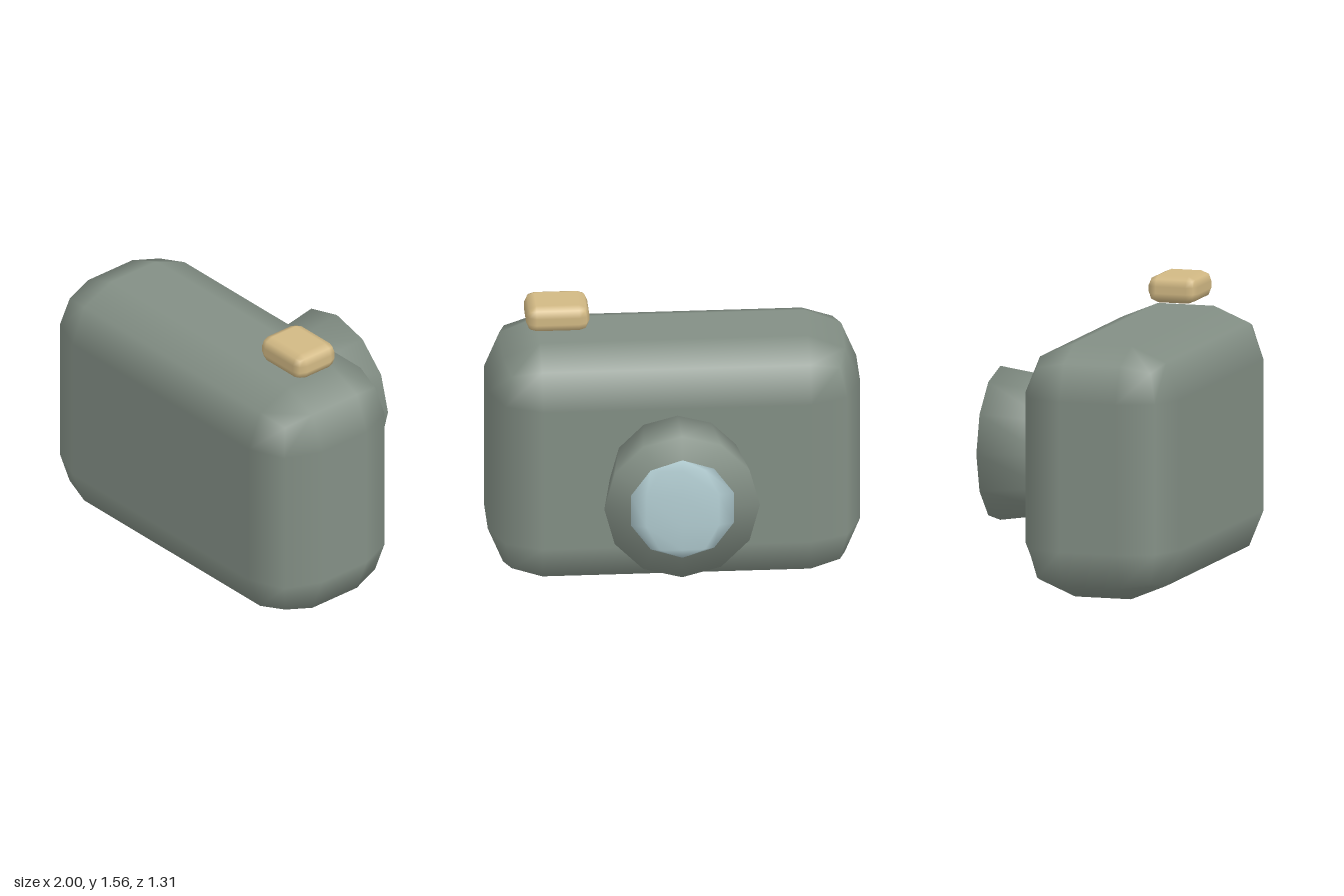
import * as THREE from 'three';
import { mergeVertices } from 'three/addons/utils/BufferGeometryUtils.js';
import { RoundedBoxGeometry } from 'three/addons/geometries/RoundedBoxGeometry.js';

// Weld all corners so shading flows smoothly across every edge
function smooth(geometry) {
  geometry.deleteAttribute('normal');
  geometry.deleteAttribute('uv');
  const welded = mergeVertices(geometry, 1e-4);
  welded.computeVertexNormals();
  return welded;
}

export function createModel() {
  const group = new THREE.Group();
  const casing = new THREE.MeshStandardMaterial({ color: 0x838f85 });
  const brass = new THREE.MeshStandardMaterial({ color: 0xd2b984 });
  const glass = new THREE.MeshStandardMaterial({ color: 0xb4cfd4 });

  function add(name, geometry, material, x, y, z) {
    const mesh = new THREE.Mesh(geometry, material);
    mesh.name = name;
    mesh.position.set(x, y, z);
    group.add(mesh);
  }

  // Camera body with coarse, smoothly shaded rounding
  add('body', new RoundedBoxGeometry(2, 1.375, 0.875, 1, 0.28), casing, 0, 0.6875, 0.2175);

  // Shutter button hovering over the body
  add('shutterButton', new RoundedBoxGeometry(0.34, 0.147, 0.278, 1, 0.055), brass, 0.62, 1.488, 0.216);

  // Flared twelve-sided lens barrel pointing to -z
  const barrel = new THREE.CylinderGeometry(0.418, 0.363, 0.375, 12);
  barrel.rotateX(-Math.PI / 2);
  add('lensBarrel', smooth(barrel), casing, 0, 0.6925, -0.4075);

  // Flattened low-poly ball as the lens glass
  const lens = new THREE.SphereGeometry(1, 8, 5);
  lens.scale(0.29, 0.29, 0.037);
  add('lensGlass', smooth(lens), glass, 0, 0.6925, -0.62);

  return group;
}
